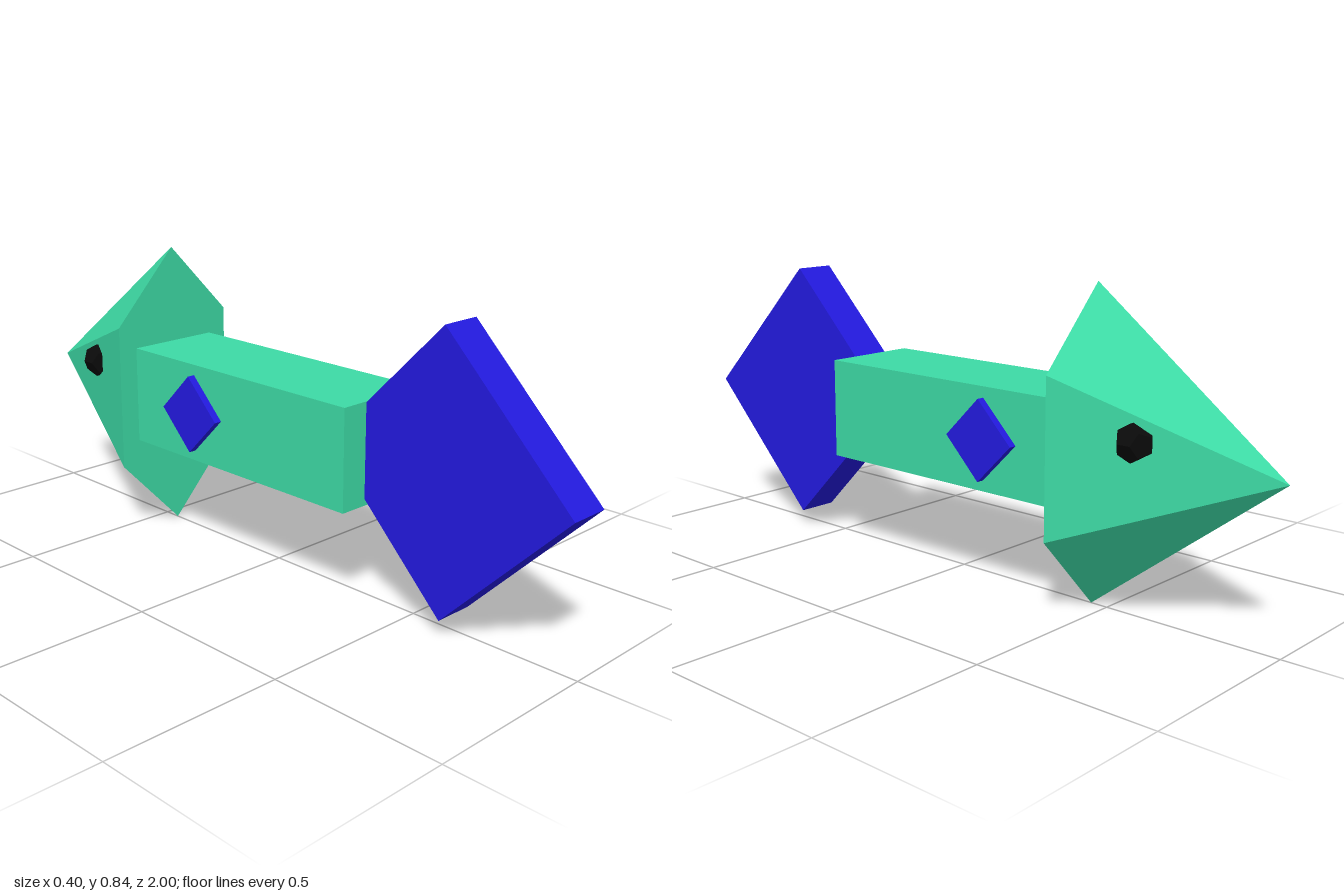
import * as THREE from 'three';

const flat = (color) => new THREE.MeshStandardMaterial({ color, flatShading: true });

export function createModel() {
  const fish = new THREE.Group();
  fish.name = 'fish';
  const green = flat(0x3ddaa5), blue = flat(0x231ae0), black = flat(0x0a0a0a);
  const midY = 0.421;

  const add = (name, geometry, material, x, y, z) => {
    const mesh = new THREE.Mesh(geometry, material);
    mesh.name = name;
    mesh.position.set(x, y, z);
    fish.add(mesh);
    return mesh;
  };

  // Body: a long square bar
  add('body', new THREE.BoxGeometry(0.28, 0.28, 0.825), green, 0, midY, -0.0375);

  // Head: a six-sided cone pointing backwards, squeezed in width
  const cone = new THREE.ConeGeometry(0.42, 0.55, 6);
  cone.rotateX(-Math.PI / 2).scale(0.55, 1, 1);
  add('head', cone, green, 0, 0.42, -0.725);

  // Tail: a slab turned onto its corner
  const tail = add('tail', new THREE.BoxGeometry(0.117, 0.523, 0.544), blue, -0.001, midY + 0.001, 0.6225);
  tail.rotation.x = Math.PI / 4;

  // Side fins and eyes, mirrored
  for (const [side, s] of [['left', 1], ['right', -1]]) {
    const fin = add(side + 'Fin', new THREE.BoxGeometry(0.06, 0.156, 0.156), blue, s * 0.132, midY, -0.195);
    fin.rotation.x = Math.PI / 4;
    add(side + 'Eye', new THREE.DodecahedronGeometry(0.052), black, s * 0.117, 0.485, -0.655);
  }
  return fish;
}
